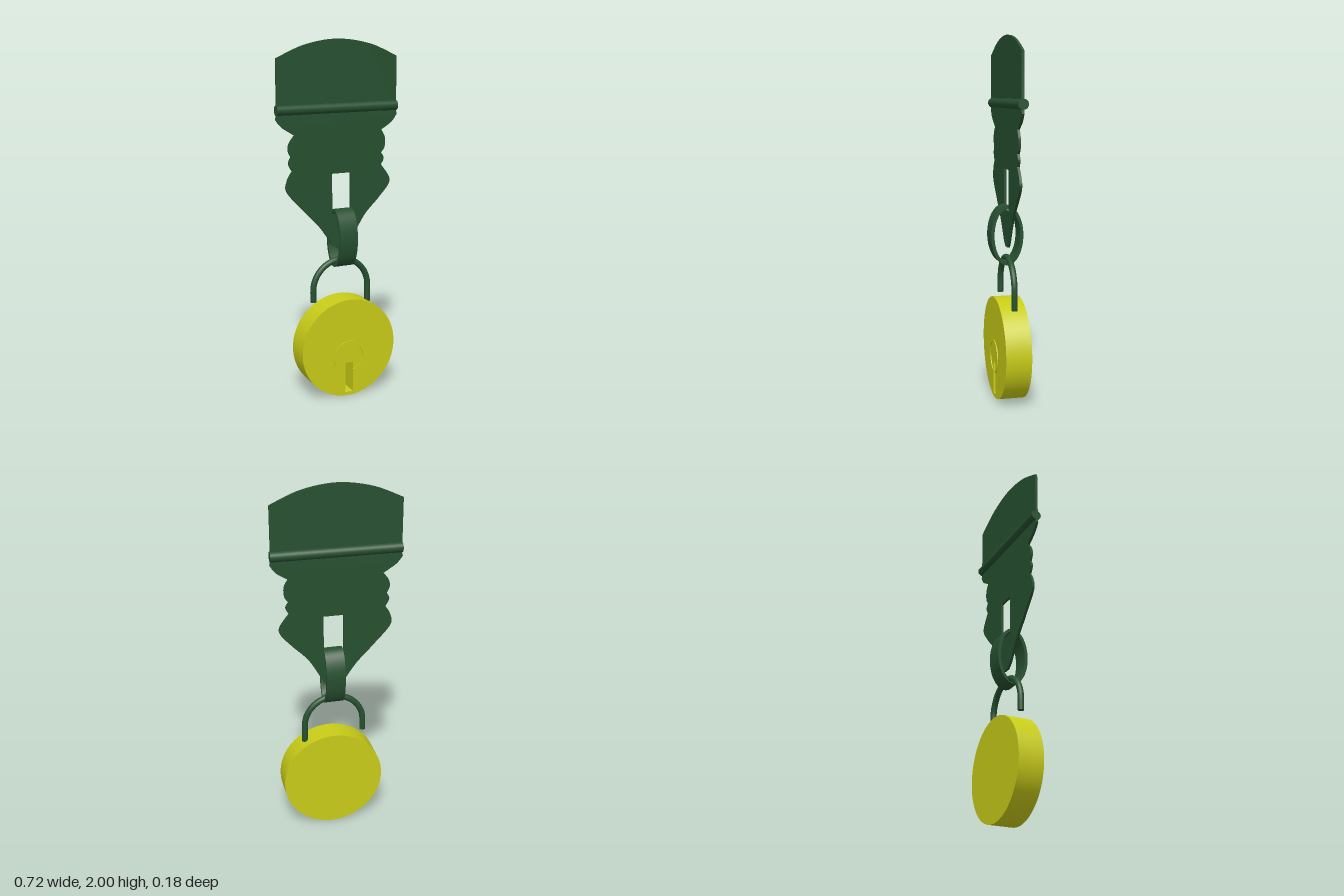
import * as THREE from 'three';
import { toCreasedNormals } from 'three/addons/utils/BufferGeometryUtils.js';

const green = new THREE.MeshStandardMaterial({ color: 0x265030 });
const yellow = new THREE.MeshStandardMaterial({ color: 0xc8cc18 });

function add(group, name, geometry, material, x = 0, y = 0, z = 0) {
  const mesh = new THREE.Mesh(geometry, material);
  mesh.name = name;
  mesh.position.set(x, y, z);
  group.add(mesh);
  return mesh;
}

// Extrude along +z with smooth curves and sharp rims
function extrude(shape, depth, curveSegments = 24) {
  return toCreasedNormals(
    new THREE.ExtrudeGeometry(shape, { depth, bevelEnabled: false, curveSegments }), 0.6);
}

function rectPath(x0, y0, x1, y1) {
  return new THREE.Path([[x0, y0], [x0, y1], [x1, y1], [x1, y0]].map(p => new THREE.Vector2(...p)));
}

const points = list => list.map(p => new THREE.Vector2(...p));

// Flat plate: arched top, scalloped sides, tapering to a tip
function plateShape() {
  const s = new THREE.Shape();
  s.moveTo(-0.355, 1.904);
  s.lineTo(-0.355, 1.61);
  s.lineTo(-0.36, 1.587);
  s.splineThru(points([[-0.325, 1.545], [-0.255, 1.5]]));
  s.splineThru(points([[-0.285, 1.46], [-0.292, 1.42], [-0.276, 1.385]]));
  s.splineThru(points([[-0.291, 1.35], [-0.27, 1.308]]));
  s.splineThru(points([[-0.298, 1.26], [-0.3, 1.194], [-0.2, 1.08], [-0.11, 0.985], [-0.034, 0.876]]));
  s.lineTo(0, 0.85);
  s.lineTo(0.045, 0.85);
  s.splineThru(points([[0.071, 0.88], [0.156, 1.025], [0.246, 1.12], [0.31, 1.194], [0.312, 1.24], [0.262, 1.31]]));
  s.splineThru(points([[0.279, 1.345], [0.262, 1.378]]));
  s.splineThru(points([[0.283, 1.406], [0.285, 1.46], [0.262, 1.505]]));
  s.splineThru(points([[0.325, 1.545], [0.357, 1.587]]));
  s.lineTo(0.352, 1.61);
  s.lineTo(0.352, 1.904);
  s.splineThru(points([[0.19, 1.972], [0, 2], [-0.19, 1.972], [-0.355, 1.904]]));
  s.holes.push(rectPath(-0.037, 1.05, 0.074, 1.279));
  return s;
}

export function createModel() {
  const model = new THREE.Group();
  model.name = 'tagHolder';

  // Plate and the round bar across it
  add(model, 'plate', extrude(plateShape(), 0.014, 8), green, 0, 0, -0.02);
  const bar = add(model, 'crossBar', new THREE.CylinderGeometry(0.028, 0.028, 0.712, 32), green, 0, 1.635, -0.016);
  bar.rotation.z = Math.PI / 2;

  // Oval band link hanging from the plate's window
  const band = new THREE.Shape().absellipse(0, 0, 0.09, 0.164, 0, Math.PI * 2);
  band.holes.push(new THREE.Path().absellipse(0, 0, 0.072, 0.146, 0, Math.PI * 2));
  const link = add(model, 'bandLink', extrude(band, 0.107, 32), green, -0.033, 0.919, 0);
  link.rotation.y = Math.PI / 2;

  // Arched shackle with one leg shorter than the other
  const path = new THREE.CurvePath();
  const r = 0.168, cx = 0.017, cy = 0.622;
  const arc = [];
  for (let i = 0; i <= 16; i++) {
    const a = Math.PI * (1 - i / 16);
    arc.push(new THREE.Vector3(cx + r * Math.cos(a), cy + r * Math.sin(a), 0));
  }
  path.add(new THREE.LineCurve3(new THREE.Vector3(cx - r, 0.56, 0), arc[0]));
  path.add(new THREE.CatmullRomCurve3(arc));
  path.add(new THREE.LineCurve3(arc[16], new THREE.Vector3(cx + r, 0.525, 0)));
  add(model, 'shackle', new THREE.TubeGeometry(path, 64, 0.017, 16), green, 0, 0, -0.013);
  [[cx - r, 0.56], [cx + r, 0.525]].forEach(([x, y]) => {
    const cap = add(model, 'shackleEnd', new THREE.CircleGeometry(0.017, 16), green, x, y, -0.013);
    cap.rotation.x = Math.PI / 2;
  });

  // Round lock body: slotted front layer over a solid back
  const R = 0.285, bx = 0.034;
  const front = new THREE.Shape().absarc(0, 0, R, 0, Math.PI * 2);
  front.holes.push(rectPath(-0.024, -0.265, 0.024, -0.087));
  add(model, 'lockBody', extrude(front, 0.1, 48), yellow, bx, R, -0.035);
  const back = add(model, 'lockBack', new THREE.CylinderGeometry(R, R, 0.042, 96), yellow, bx, R, -0.056);
  back.rotation.x = Math.PI / 2;

  // Thin raised ring, open where the slot crosses it
  const gap = 0.276, down = -Math.PI / 2;
  const ring = new THREE.Shape();
  ring.absarc(0, 0, 0.093, down + gap, down + Math.PI * 2 - gap, false);
  ring.absarc(0, 0, 0.083, down + Math.PI * 2 - gap, down + gap, true);
  add(model, 'keyRing', extrude(ring, 0.007, 48), yellow, bx, 0.235, 0.063);

  return model;
}
